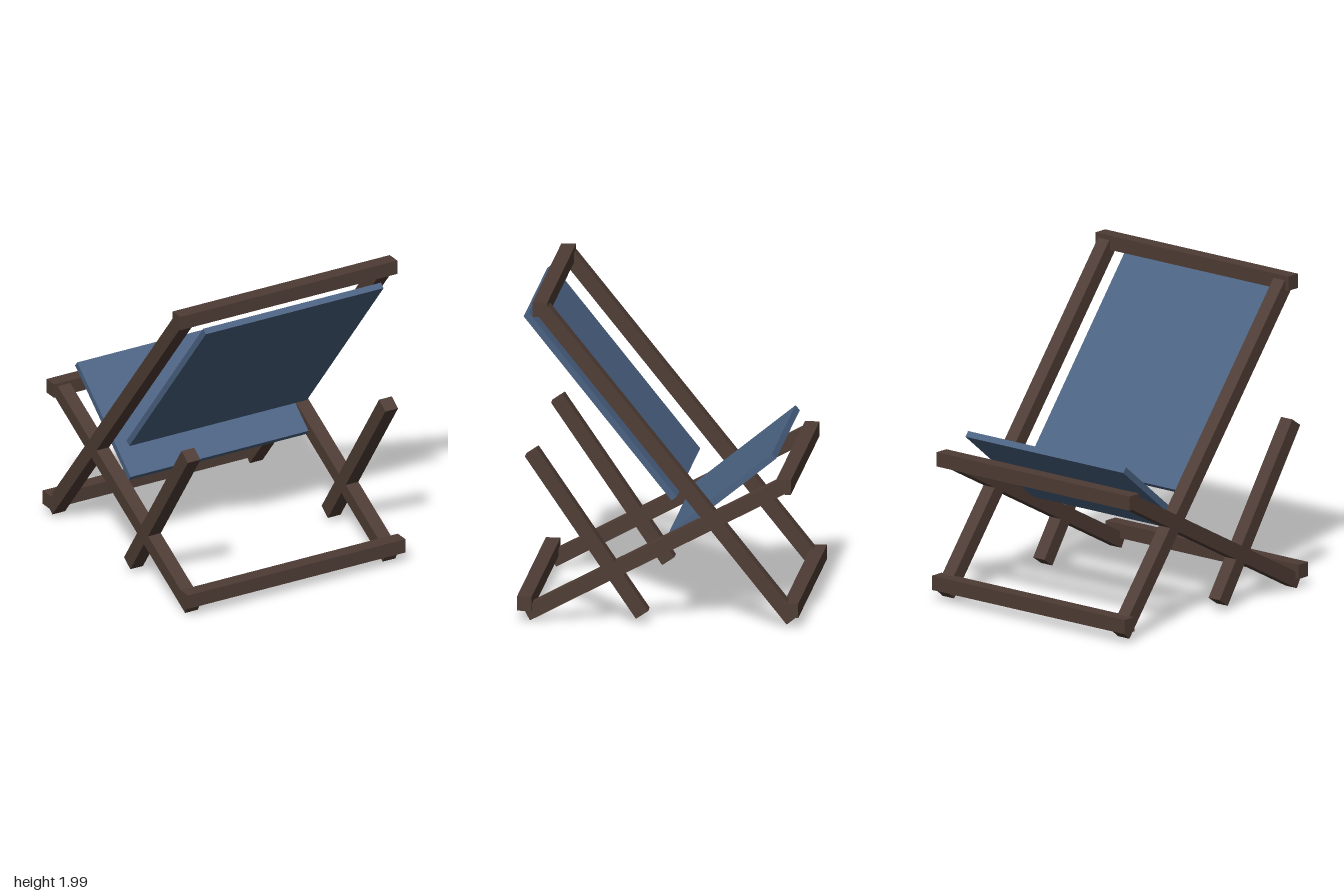
import * as THREE from 'three';

export function createModel() {
  const model = new THREE.Group();
  model.name = 'foldingDeckChair';

  const wood = new THREE.MeshStandardMaterial({ color: 0x4e3c34 });
  wood.name = 'dark wood';
  const fabric = new THREE.MeshStandardMaterial({ color: 0x4a6282 });
  fabric.name = 'blue fabric';

  const T = 0.09; // square section of all timber

  // Box stretched between two [z, y] points at a given x
  function beam(name, material, x, width, thickness, [z0, y0], [z1, y1]) {
    const dz = z1 - z0, dy = y1 - y0;
    const mesh = new THREE.Mesh(
      new THREE.BoxGeometry(width, thickness, Math.hypot(dz, dy)), material);
    mesh.position.set(x, (y0 + y1) / 2, (z0 + z1) / 2);
    mesh.rotation.x = -Math.atan2(dy, dz);
    mesh.name = name;
    model.add(mesh);
  }

  // Mirrored side timbers
  for (const [side, x] of [['left', 0.7], ['right', -0.7]]) {
    beam(side + 'BackRail', wood, x, T, T, [-0.817, 0.05], [0.71, 1.945]);
    beam(side + 'SeatRail', wood, x, T, T, [0.81, 0.045], [-0.755, 0.88]);
    beam(side + 'PropLeg', wood, x, T, T, [0.103, 0.058], [0.783, 1.055]);
  }

  // Crossbars joining the two sides
  const bars = [
    ['topCrossbar', 1.955, 0.725],
    ['seatCrossbar', 0.885, -0.765],
    ['frontFootBar', 0.115, 0.82],
    ['backFootBar', 0.115, -0.81],
  ];
  for (const [name, y, z] of bars) {
    const bar = new THREE.Mesh(new THREE.BoxGeometry(1.54, T, T), wood);
    bar.position.set(0, y, z);
    bar.name = name;
    model.add(bar);
  }

  // Fabric panels
  beam('backPanel', fabric, 0, 1.26, 0.04, [-0.08, 0.763], [0.825, 1.89]);
  beam('seatPanel', fabric, 0, 1.26, 0.04, [-0.06, 0.533], [-0.692, 1.046]);

  return model;
}
